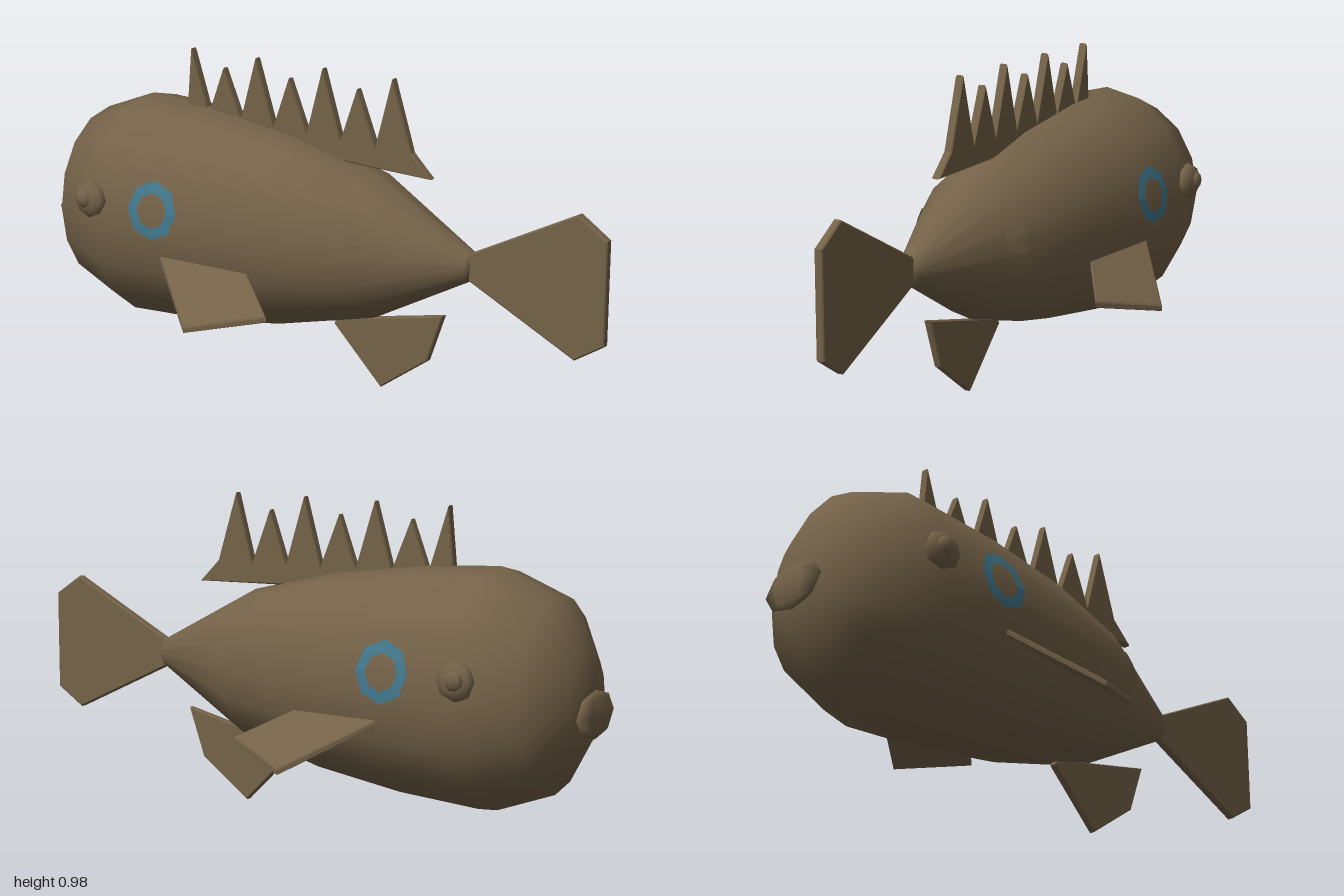
import * as THREE from 'three';

const CENTRE_Y = 0.447, WIDTH = 0.84;
// body profile, nose to tail: [z, half height]
const PROFILE = [[-0.962, 0], [-0.953, 0.14], [-0.86, 0.292], [-0.67, 0.363], [-0.4, 0.347],
  [-0.1, 0.306], [0.2, 0.23], [0.545, 0.047], [0.55, 0]];

function bodyRadius(z) {
  for (let i = 1; i < PROFILE.length; i++) {
    const [z0, r0] = PROFILE[i - 1], [z1, r1] = PROFILE[i];
    if (z <= z1) return r0 + (r1 - r0) * (z - z0) / (z1 - z0);
  }
  return 0;
}

const shapeOf = pts => new THREE.Shape(pts.map(p => new THREE.Vector2(p[0], p[1])));

function slab(pts, thickness) {
  const b = 0.004;
  const g = new THREE.ExtrudeGeometry(shapeOf(pts), {
    depth: thickness - 2 * b, bevelEnabled: true, bevelThickness: b,
    bevelSize: b, bevelOffset: -b, bevelSegments: 1,
  });
  return g.translate(0, 0, b - thickness / 2);
}

// upright fin on the centre line, outline given as [z, y]
const uprightFin = (pts, thickness = 0.027) => slab(pts, thickness).rotateY(-Math.PI / 2);

// thin patch laid over the flank
function flankPatch(side, z, y, inner, outer, stretch, lift, segments) {
  const g = new THREE.RingGeometry(inner, outer, segments, 2);
  const p = g.attributes.position;
  for (let i = 0; i < p.count; i++) {
    const pz = z + p.getX(i), py = y + p.getY(i) * stretch;
    const r = bodyRadius(pz), h = (py - CENTRE_Y) / r;
    p.setXYZ(i, side * (WIDTH * r * Math.sqrt(Math.max(0, 1 - h * h)) + lift), py, pz);
  }
  g.computeVertexNormals();
  return g;
}

// side fin: outline [x, z] lying on a tilted plane
function sideFin(side) {
  const pts = [[0.2, -0.39], [0.28, -0.42], [0.45, -0.19], [0.34, 0.04], [0.2, -0.17]];
  const g = slab(pts.map(([x, z]) => [side * x, z]), 0.022).rotateX(Math.PI / 2);
  const p = g.attributes.position;
  for (let i = 0; i < p.count; i++) {
    const drop = 0.68 * (side * p.getX(i) - 0.28) + 0.107 * (p.getZ(i) + 0.42);
    p.setY(i, p.getY(i) + 0.362 - drop);
  }
  g.computeVertexNormals();
  return g;
}

export function createModel() {
  const model = new THREE.Group();
  model.name = 'fish';
  const brown = new THREE.MeshStandardMaterial({ color: 0x746248, side: THREE.DoubleSide });
  brown.name = 'brown skin';
  const blue = new THREE.MeshStandardMaterial({ color: 0x42778c, side: THREE.DoubleSide });
  blue.name = 'blue marking';

  function add(name, geometry, material = brown, parent = model) {
    const mesh = new THREE.Mesh(geometry, material);
    mesh.name = name;
    parent.add(mesh);
    return mesh;
  }

  // body
  const body = new THREE.LatheGeometry(PROFILE.map(([z, r]) => new THREE.Vector2(r, z)), 16);
  body.rotateX(Math.PI / 2).scale(WIDTH, 1, 1).translate(0, CENTRE_Y, 0);
  add('body', body);

  // lips
  const lips = new THREE.SphereGeometry(1, 6, 4).scale(0.12, 0.072, 0.021);
  add('lips', lips.translate(0, 0.405, -0.982));

  // spiny back fin
  const spines = [[0.405, 0.69], [0.335, 0.76]];
  for (let i = 0; i < 7; i++) {
    const z = 0.265 - i * 0.1275;
    spines.push([z, i % 2 ? 0.93 : 0.977]);
    spines.push(i < 6 ? [z - 0.06, 0.76 + i * 0.003] : [-0.52, 0.78]);
  }
  spines.push([-0.52, 0.72], [0.07, 0.7]);
  add('backFin', uprightFin(spines));

  // tail and belly fins
  add('tailFin', uprightFin([[0.52, 0.47], [0.55, 0.49], [0.905, 0.668], [1, 0.605],
    [1, 0.29], [0.905, 0.23], [0.55, 0.4], [0.52, 0.42]]));
  add('bellyFin', uprightFin([[0.455, 0.275], [0.4, 0.12], [0.23, 0], [0.055, 0.172], [0.06, 0.19]], 0.024));

  for (const side of [1, -1]) {
    const tag = side > 0 ? 'left' : 'right';
    add(tag + 'SideFin', sideFin(side));

    // eye with raised pupil
    const eye = new THREE.Group();
    eye.name = tag + 'Eye';
    eye.position.set(side * 0.293, 0.517, -0.69);
    model.add(eye);
    add('eyeball', new THREE.SphereGeometry(0.062, 8, 6).rotateZ(Math.PI / 2).scale(0.5, 1, 1), brown, eye);
    add('pupil', new THREE.SphereGeometry(0.03, 8, 6).scale(0.6, 1, 1)
      .translate(side * 0.023, 0.004, -0.008), brown, eye);

    // blue ring behind the eye, faint patches along the flank
    add(tag + 'Ring', flankPatch(side, -0.443, 0.517, 0.056, 0.092, 1, 0.004, 8), blue);
    for (const [z, y] of [[0.22, 0.5], [0, 0.43]]) {
      add(tag + 'FlankPatch', flankPatch(side, z, y, 0.001, 0.05, 1, 0.002, 10));
    }
  }
  return model;
}
